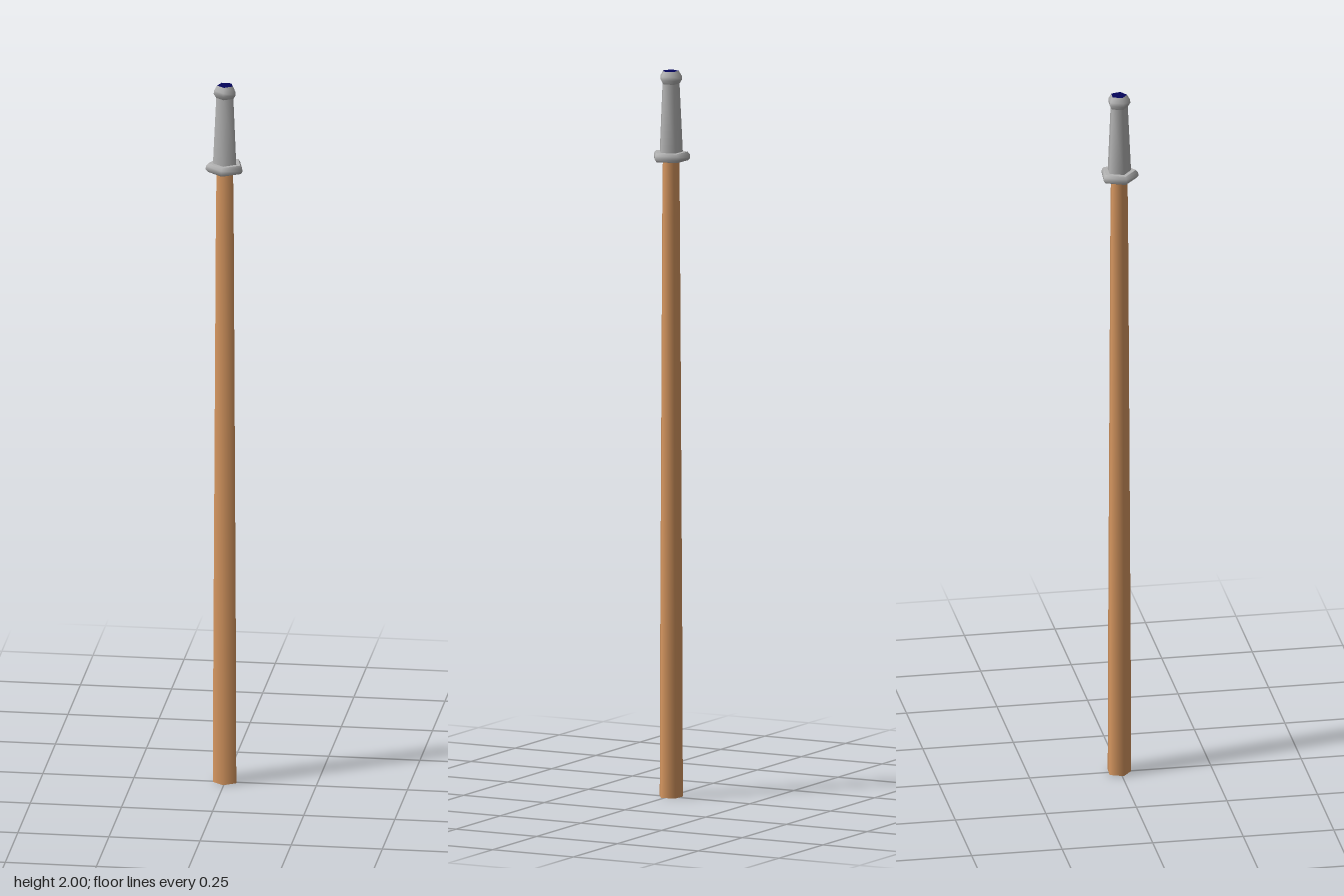
import * as THREE from 'three';

const SIDES = 5;

export function createModel() {
  const model = new THREE.Group();
  model.name = 'polePiece';

  const material = (name, color) => {
    const m = new THREE.MeshStandardMaterial({ color });
    m.name = name;
    return m;
  };
  const wood = material('wood', 0xdb9a62);
  const metal = material('greyMetal', 0xb4b4b4);
  const navy = material('navyBlue', 0x04045a);

  // Five-sided turned part from [radius, height] pairs, listed bottom to top.
  // Normals are smooth around it; a repeated pair makes a hard corner.
  const turned = (name, profile, mat, turn) => {
    const points = profile.map(([r, y]) => new THREE.Vector2(r, y));
    const mesh = new THREE.Mesh(new THREE.LatheGeometry(points, SIDES, turn), mat);
    mesh.name = name;
    mesh.position.z = -0.004;
    model.add(mesh);
  };

  // Long tapering shaft with a flat foot
  turned('shaft', [[0, 0], [0.034, 0], [0.034, 0], [0.033, 0.35], [0.026, 1.6], [0.024, 1.77]], wood, -0.05);

  // Collar where the shaft meets the nozzle
  turned('collar', [
    [0, 1.753], [0.048, 1.753], [0.048, 1.753], [0.054, 1.76], [0.053, 1.77],
    [0.047, 1.777], [0.047, 1.777], [0, 1.777],
  ], metal, -0.08);

  // Tapered nozzle with a flared lip
  turned('nozzle', [
    [0.034, 1.775], [0.025, 1.965], [0.025, 1.965], [0.032, 1.976], [0.031, 1.986], [0.023, 2.0],
  ], metal, -0.05);

  // Dark opening at the tip
  turned('tipOpening', [[0.023, 2.0], [0, 2.0]], navy, -0.05);

  return model;
}
